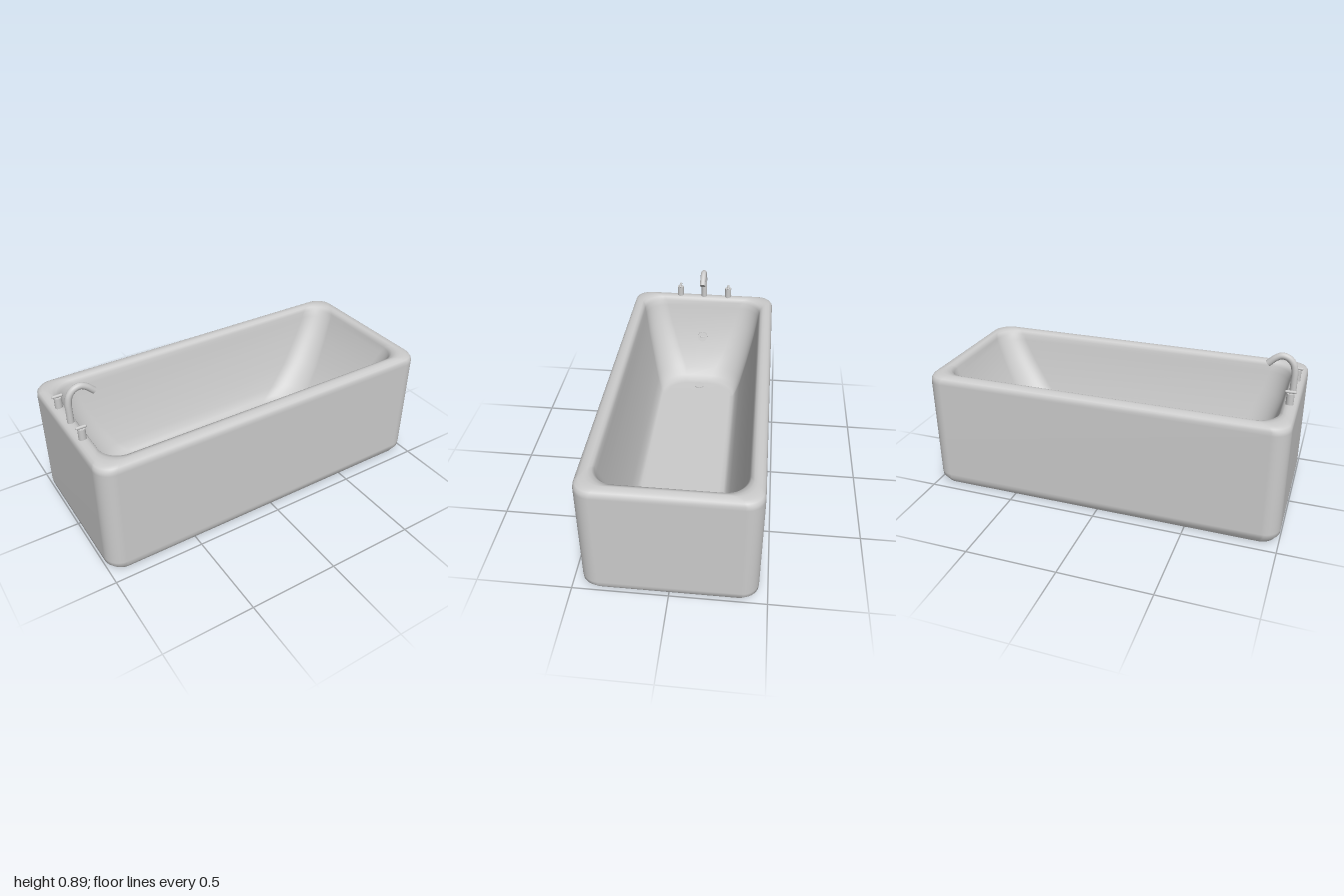
import * as THREE from 'three';

const material = new THREE.MeshStandardMaterial({ color: 0xcccccc, side: THREE.DoubleSide });
const CORNER_STEPS = 12;

// Rounded rectangle in the xz plane, corner by corner
function roundedRing([y, xMin, xMax, zHalf, r]) {
  const points = [];
  const corners = [
    [xMax - r, zHalf - r], [xMin + r, zHalf - r],
    [xMin + r, -zHalf + r], [xMax - r, -zHalf + r],
  ];
  corners.forEach(([cx, cz], k) => {
    for (let i = 0; i <= CORNER_STEPS; i++) {
      const a = (k + i / CORNER_STEPS) * Math.PI / 2;
      points.push([cx + r * Math.cos(a), y, cz + r * Math.sin(a)]);
    }
  });
  return points;
}

// Smooth skin through a list of rings, closed around
function loft(sections) {
  const rings = sections.map(roundedRing);
  const n = rings[0].length;
  const index = [];
  for (let i = 0; i < rings.length - 1; i++) {
    for (let j = 0; j < n; j++) {
      const a = i * n + j, b = i * n + (j + 1) % n;
      index.push(a, a + n, b, b, a + n, b + n);
    }
  }
  const geometry = new THREE.BufferGeometry();
  geometry.setAttribute('position', new THREE.Float32BufferAttribute(rings.flat(2), 3));
  geometry.setIndex(index);
  geometry.computeVertexNormals();
  return geometry;
}

function addMesh(parent, name, geometry, x = 0, y = 0, z = 0) {
  const mesh = new THREE.Mesh(geometry, material);
  mesh.name = name;
  mesh.position.set(x, y, z);
  parent.add(mesh);
  return mesh;
}

export function createModel() {
  const model = new THREE.Group();
  model.name = 'bathtub';

  // Outer apron, open underneath: y, xMin, xMax, zHalf, corner radius
  const apron = [
    [0, -0.975, 0.975, 0.43, 0.08],
    [0.035, -0.998, 0.998, 0.452, 0.09],
    [0.06, -1, 1, 0.453, 0.09],
    [0.635, -1, 1, 0.453, 0.09],
    [0.655, -0.998, 0.998, 0.451, 0.09],
    [0.669, -0.99, 0.99, 0.444, 0.09],
    [0.677, -0.975, 0.975, 0.43, 0.09],
    [0.681, -0.955, 0.955, 0.41, 0.1],
  ];
  // Rolled lip and sloping basin, ending in the flat floor
  const basin = [
    [0.68, -0.94, 0.945, 0.395, 0.11],
    [0.673, -0.925, 0.93, 0.38, 0.12],
    [0.655, -0.916, 0.92, 0.371, 0.13],
    [0.62, -0.91, 0.91, 0.366, 0.13],
    [0.5, -0.885, 0.85, 0.345, 0.14],
    [0.35, -0.835, 0.755, 0.308, 0.155],
    [0.23, -0.775, 0.65, 0.272, 0.17],
    [0.185, -0.735, 0.59, 0.25, 0.17],
    [0.168, -0.7, 0.55, 0.233, 0.165],
    [0.165, -0.67, 0.52, 0.21, 0.15],
    [0.165, -0.48, 0.33, 0.02, 0.015],
    [0.165, -0.46, 0.31, 0.0, 0.0],
  ];
  addMesh(model, 'tubShell', loft([...apron, ...basin]));

  // Drain and overflow covers
  addMesh(model, 'drain', new THREE.CylinderGeometry(0.03, 0.03, 0.008, 24), -0.64, 0.167, 0);
  const overflow = addMesh(model, 'overflowCover',
    new THREE.CylinderGeometry(0.032, 0.032, 0.02, 24), -0.857, 0.42, 0);
  overflow.rotation.z = -Math.PI / 2 + 0.3;
  const overflowKnob = addMesh(overflow, 'overflowLever',
    new THREE.CapsuleGeometry(0.005, 0.02, 4, 10), 0, 0.013, 0);
  overflowKnob.rotation.x = Math.PI / 2;

  // Gooseneck spout with closed ends
  const path = new THREE.CatmullRomCurve3([
    [-0.953, 0.67], [-0.953, 0.73], [-0.952, 0.79], [-0.941, 0.834],
    [-0.915, 0.863], [-0.88, 0.872], [-0.849, 0.858], [-0.81, 0.822],
  ].map(([x, y]) => new THREE.Vector3(x, y, 0)));
  addMesh(model, 'spout', new THREE.TubeGeometry(path, 48, 0.018, 16));
  const mouth = addMesh(model, 'spoutMouth', new THREE.CircleGeometry(0.018, 16));
  mouth.position.copy(path.getPoint(1));
  mouth.lookAt(path.getPoint(1).add(path.getTangent(1)));

  // Pair of taps with cross bars
  for (const side of [-1, 1]) {
    const tap = new THREE.Group();
    tap.name = side > 0 ? 'frontTap' : 'backTap';
    tap.position.set(-0.955, 0.675, side * 0.158);
    addMesh(tap, 'tapBody', new THREE.CylinderGeometry(0.02, 0.02, 0.065, 24), 0, 0.0325, 0);
    const bar = addMesh(tap, 'tapBar', new THREE.CapsuleGeometry(0.008, 0.044, 4, 12), 0, 0.072, 0);
    bar.rotation.z = Math.PI / 2;
    model.add(tap);
  }
  return model;
}
